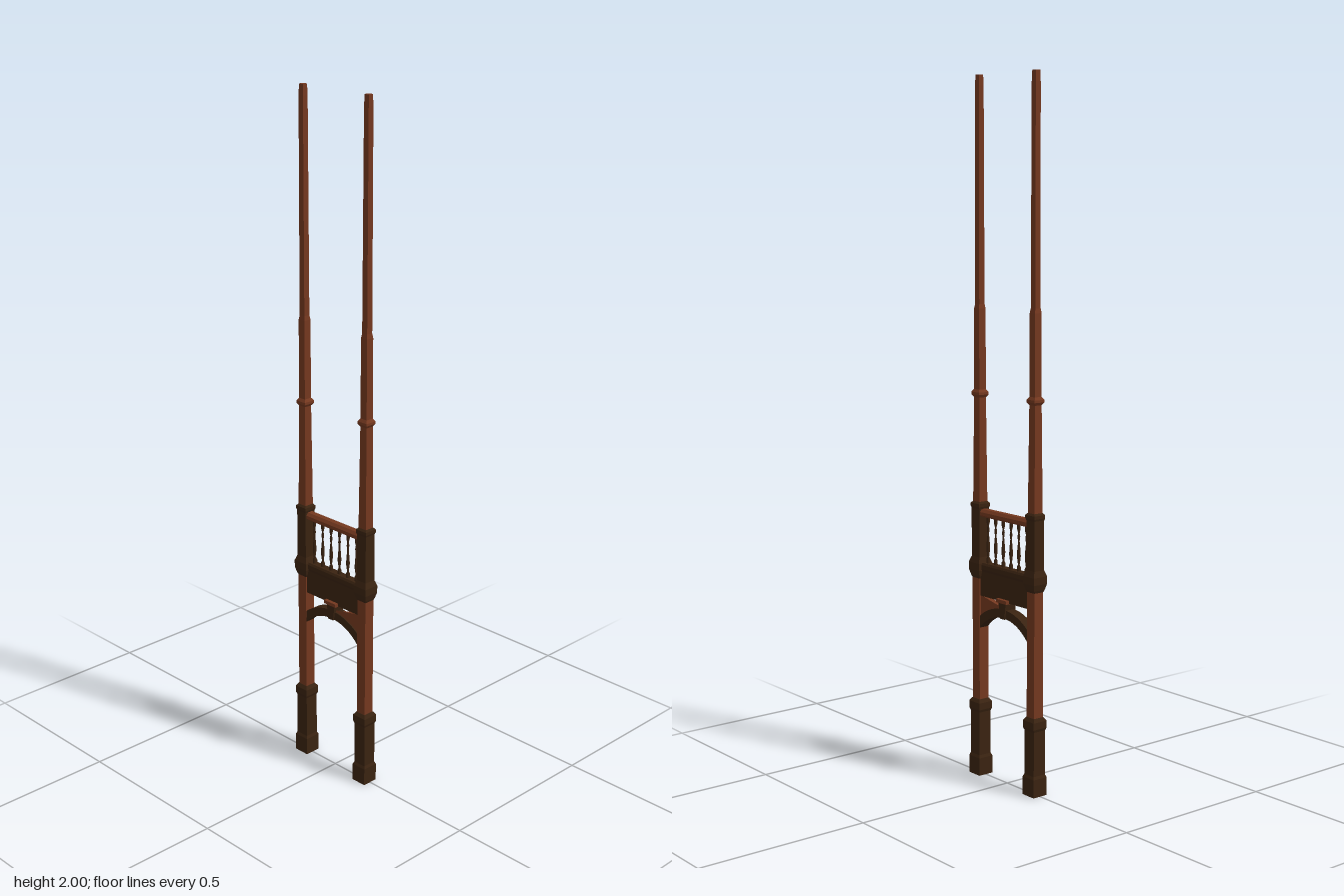
import * as THREE from 'three';

const redWood = new THREE.MeshStandardMaterial({ color: 0x74381f });
redWood.name = 'red wood';
const darkWood = new THREE.MeshStandardMaterial({ color: 0x3a2311 });
darkWood.name = 'dark wood';

// Gives every face its own flat normal
function faceted(geometry) {
  const g = geometry.index ? geometry.toNonIndexed() : geometry;
  g.computeVertexNormals();
  return g;
}

function add(parent, name, geometry, material, x = 0, y = 0, z = 0) {
  const mesh = new THREE.Mesh(geometry, material);
  mesh.name = name;
  mesh.position.set(x, y, z);
  parent.add(mesh);
  return mesh;
}

// Square turned section: profile of [half width, height], bottom to top, closed at both ends
function squareSection(profile) {
  const pts = profile.map(([h, y]) => new THREE.Vector2(h * Math.SQRT2, y));
  pts.unshift(new THREE.Vector2(0, profile[0][1]));
  pts.push(new THREE.Vector2(0, profile[profile.length - 1][1]));
  return faceted(new THREE.LatheGeometry(pts, 4, Math.PI / 4));
}

// Flat shape extruded symmetrically about z = 0
function slab(shape, depth) {
  const g = new THREE.ExtrudeGeometry(shape, { depth, bevelEnabled: false, curveSegments: 20 });
  return g.translate(0, 0, -depth / 2);
}

// Moulding running along x from a [z, y] half profile, mirrored in z
function moulding(half, length) {
  const right = half.map(([z, y]) => new THREE.Vector2(z, y));
  const left = half.map(([z, y]) => new THREE.Vector2(-z, y)).reverse();
  const g = new THREE.ExtrudeGeometry(new THREE.Shape([...right, ...left]), { depth: length, bevelEnabled: false });
  return g.translate(0, 0, -length / 2).rotateY(Math.PI / 2);
}

function makePost() {
  const post = new THREE.Group();
  post.name = 'post';
  add(post, 'footBlock', squareSection([
    [0.024, 0], [0.024, 0.052], [0.0205, 0.06], [0.0205, 0.188], [0.0235, 0.196],
    [0.0235, 0.216], [0.017, 0.226]]), darkWood);
  add(post, 'lowerShaft', squareSection([[0.016, 0.22], [0.016, 0.6]]), redWood);
  add(post, 'middleBlock', squareSection([
    [0.016, 0.583], [0.019, 0.59], [0.0235, 0.607], [0.0235, 0.628], [0.0175, 0.645],
    [0.0175, 0.785], [0.0195, 0.791], [0.0195, 0.8], [0.014, 0.806]]), darkWood);
  add(post, 'upperShaft', squareSection([
    [0.0145, 0.8], [0.012, 1.1], [0.0115, 1.355], [0.0095, 1.368], [0.0085, 1.97], [0.0075, 2]]), redWood);
  add(post, 'shaftRing', squareSection([
    [0.012, 1.104], [0.0175, 1.112], [0.0175, 1.119], [0.012, 1.127]]), redWood);
  return post;
}

export function createModel() {
  const model = new THREE.Group();
  model.name = 'bridgeFrame';

  // Two matching posts
  for (const side of [-1, 1]) {
    const post = makePost();
    post.name = side > 0 ? 'leftPost' : 'rightPost';
    post.position.x = 0.122 * side;
    model.add(post);
  }

  // Dark beam with a stepped top moulding
  const span = 0.22;
  add(model, 'beam', moulding([
    [0.012, 0.533], [0.012, 0.605], [0.0145, 0.612], [0.0145, 0.624], [0.011, 0.63]], span), darkWood);

  // Handrail with bevelled edges
  add(model, 'handrail', moulding([
    [0.009, 0.763], [0.0145, 0.768], [0.0145, 0.777], [0.008, 0.785]], span), redWood);

  // Turned balusters
  const profile = [[0.0055, 0.628], [0.0055, 0.642], [0.0025, 0.648], [0.0055, 0.672], [0.0045, 0.69],
    [0.0022, 0.715], [0.004, 0.728], [0.0022, 0.738], [0.005, 0.75], [0.005, 0.766]];
  const baluster = new THREE.LatheGeometry(profile.map(([r, y]) => new THREE.Vector2(r, y)), 10);
  for (let i = 0; i < 6; i++) add(model, 'baluster' + (i + 1), baluster, darkWood, (i - 2.5) * 0.0343);

  // Shallow arch: dark curved rib below red spandrels
  const r = 0.141, rib = 0.025, cy = 0.487 - r, edge = 0.108;
  const angleAt = (radius) => Math.acos(edge / radius);
  const inner = angleAt(r), outer = angleAt(r + rib);

  const ribShape = new THREE.Shape();
  ribShape.absarc(0, cy, r, inner, Math.PI - inner, false);
  ribShape.absarc(0, cy, r + rib, Math.PI - outer, outer, true);
  add(model, 'archRib', slab(ribShape, 0.03), darkWood);

  const spandrel = new THREE.Shape();
  spandrel.moveTo(-edge, 0.535);
  spandrel.absarc(0, cy, r + rib - 0.002, Math.PI - outer, outer, true);
  spandrel.lineTo(edge, 0.535);
  add(model, 'spandrel', slab(spandrel, 0.022), redWood);

  // Keystone and its projecting cap
  const key = new THREE.Shape([[-0.01, 0.485], [0.01, 0.485], [0.016, 0.532], [-0.016, 0.532]]
    .map(([x, y]) => new THREE.Vector2(x, y)));
  add(model, 'keystone', slab(key, 0.038), darkWood);
  add(model, 'keystoneCap', new THREE.BoxGeometry(0.046, 0.01, 0.046), redWood, 0, 0.536);

  return model;
}
